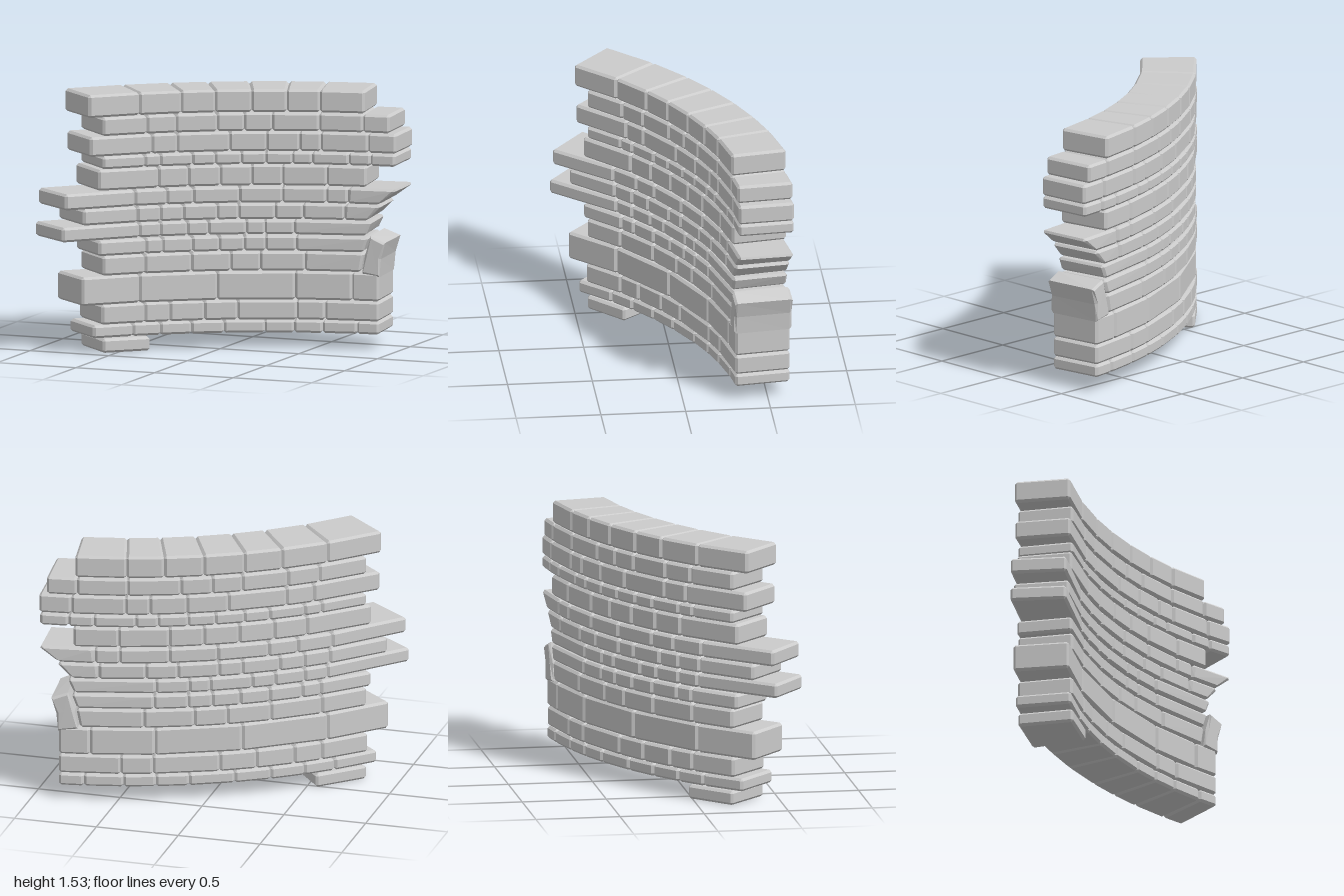
import * as THREE from 'three';
import { ConvexGeometry } from 'three/addons/geometries/ConvexGeometry.js';

// Plan of the curved wall: two concentric arcs
const CX = 1.184, CZ = 2.085, R_IN = 2.41, R_OUT = 2.74, BEVEL = 0.014;

const material = new THREE.MeshStandardMaterial({ color: 0xcccccc, flatShading: true });

// Angle on the arc for a joint at position x on the concave face
const angleAt = (x) => Math.asin((CX - x) / R_IN);

function onArc(x, r, y) {
  const a = angleAt(x);
  return new THREE.Vector3(CX - r * Math.sin(a), y, CZ - r * Math.cos(a));
}

// Chamfered block between 8 corners, corner(i, j, k) with i, j, k = 0 or 1
function chamferedBlock(corner, sizes) {
  const c = [0, 1].map((i) => [0, 1].map((j) => [0, 1].map((k) => corner(i, j, k))));
  const at = ([u, v, w]) => {
    const p = new THREE.Vector3();
    for (let i = 0; i < 2; i++) for (let j = 0; j < 2; j++) for (let k = 0; k < 2; k++) {
      p.addScaledVector(c[i][j][k], (i ? u : 1 - u) * (j ? v : 1 - v) * (k ? w : 1 - w));
    }
    return p;
  };
  const points = [];
  for (let n = 0; n < 8; n++) {
    const bits = [n & 1, (n >> 1) & 1, (n >> 2) & 1];
    for (let face = 0; face < 3; face++) {
      points.push(at(bits.map((b, axis) => {
        const inset = axis === face ? 0 : BEVEL / sizes[axis];
        return b ? 1 - inset : inset;
      })));
    }
  }
  return new ConvexGeometry(points);
}

// Brick from joint xa to xb; lean shifts the top of its right end
function brick(xa, xb, y0, y1, lean = 0) {
  const corner = (i, j, k) =>
    onArc(i ? xb + (j ? lean : 0) : xa, k ? R_OUT : R_IN, j ? y1 : y0);
  const length = onArc(xa, R_IN, 0).distanceTo(onArc(xb, R_IN, 0));
  const mesh = new THREE.Mesh(chamferedBlock(corner, [length, y1 - y0, R_OUT - R_IN]), material);
  mesh.name = 'brick';
  return mesh;
}

// Courses from the ground up: bottom, top, joints along the face, lean of the right end
const COURSES = [
  [0, 0.083, [-0.565, -0.35]],
  [0.09, 0.166, [-0.607, -0.43, -0.3, -0.15, 0.015, 0.23, 0.39, 0.55, 0.75, 0.88]],
  [0.168, 0.285, [-0.57, -0.375, -0.255, -0.085, 0.085, 0.405, 0.565, 0.88]],
  [0.287, 0.456, [-0.655, -0.4, -0.02, 0.395, 0.72, 0.88]],
  [0.458, 0.573, [-0.565, -0.375, -0.15, 0.05, 0.205, 0.45, 0.77], 0.02],
  [0.576, 0.666, [-0.583, -0.37, -0.29, -0.145, -0.01, 0.12, 0.235, 0.4, 0.785], 0.03],
  [0.674, 0.76, [-0.737, -0.4, -0.3, -0.17, -0.065, 0.13, 0.23, 0.39, 0.8], 0.035],
  [0.764, 0.858, [-0.65, -0.41, -0.3, -0.19, -0.02, 0.09, 0.285, 0.44, 0.675, 0.81], 0.085],
  [0.862, 0.957, [-0.725, -0.42, -0.27, -0.14, 0.095, 0.325, 0.57, 0.695, 0.88], 0.115],
  [0.964, 1.087, [-0.585, -0.31, -0.165, -0.005, 0.16, 0.325, 0.575, 0.805]],
  [1.09, 1.164, [-0.565, -0.375, -0.3, -0.145, -0.03, 0.105, 0.235, 0.38, 0.49, 0.7, 0.83, 0.978]],
  [1.168, 1.284, [-0.62, -0.34, -0.22, 0.045, 0.24, 0.42, 0.54, 0.815, 0.983]],
  [1.287, 1.396, [-0.565, -0.365, -0.225, -0.02, 0.12, 0.27, 0.53, 0.785, 0.943]],
  [1.4, 1.535, [-0.627, -0.4, -0.2, -0.03, 0.16, 0.35, 0.535, 0.795]],
];

// Upright stone at the springing of the broken arch
function archStone() {
  const outline = [[0.78, 0.45], [0.797, 0.56], [0.832, 0.675], [0.918, 0.637], [0.892, 0.54], [0.883, 0.432]];
  const middle = [0.85, 0.555];
  const slice = (r, inset) => outline.map(([x, y]) => {
    const dx = middle[0] - x, dy = middle[1] - y, d = Math.hypot(dx, dy);
    return onArc(x + dx * inset / d, r, y + dy * inset / d);
  });
  // Skin the cross-sections from the concave face to the convex face
  const rings = [slice(R_IN - 0.008, BEVEL), slice(R_IN + 0.006, 0),
    slice(R_OUT - 0.006, 0), slice(R_OUT + 0.008, BEVEL)];
  const n = outline.length, positions = [];
  const tri = (...ps) => ps.forEach((p) => positions.push(p.x, p.y, p.z));
  for (let s = 0; s < rings.length - 1; s++) for (let i = 0; i < n; i++) {
    const j = (i + 1) % n, a = rings[s], b = rings[s + 1];
    tri(a[i], a[j], b[j]);
    tri(a[i], b[j], b[i]);
  }
  for (let i = 0; i < n; i++) {
    const j = (i + 1) % n;
    tri(onArc(middle[0], R_IN - 0.008, middle[1]), rings[0][j], rings[0][i]);
    tri(onArc(middle[0], R_OUT + 0.008, middle[1]), rings[3][i], rings[3][j]);
  }
  const geometry = new THREE.BufferGeometry();
  geometry.setAttribute('position', new THREE.Float32BufferAttribute(positions, 3));
  geometry.computeVertexNormals();
  const mesh = new THREE.Mesh(geometry, material);
  mesh.name = 'archStone';
  return mesh;
}

export function createModel() {
  const wall = new THREE.Group();
  wall.name = 'curvedBrickWall';
  COURSES.forEach(([y0, y1, joints, lean = 0], index) => {
    const course = new THREE.Group();
    course.name = `course${index + 1}`;
    for (let i = 0; i < joints.length - 1; i++) {
      const last = i === joints.length - 2;
      course.add(brick(joints[i], joints[i + 1], y0, y1, last ? lean : 0));
    }
    wall.add(course);
  });
  wall.add(archStone());
  return wall;
}
